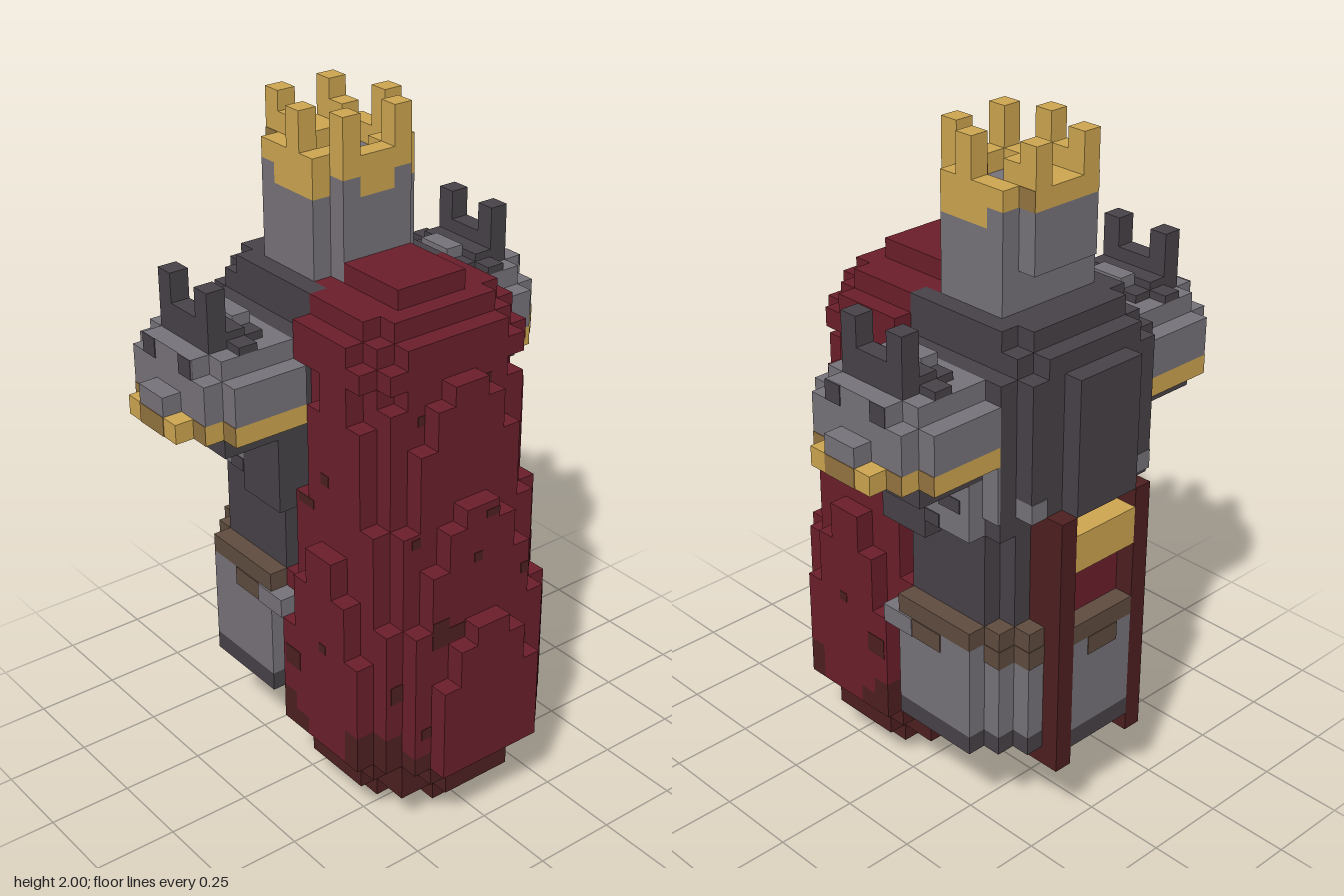
import * as THREE from 'three';
import { mergeGeometries } from 'three/addons/utils/BufferGeometryUtils.js';

const V = 2 / 35; // one block

const paint = (name, color) => {
  const m = new THREE.MeshStandardMaterial({ color });
  m.name = name;
  return m;
};

// Box between two corners given in blocks: [x0, x1, y0, y1, z0, z1]
function block([x0, x1, y0, y1, z0, z1]) {
  const g = new THREE.BoxGeometry((x1 - x0) * V, (y1 - y0) * V, (z1 - z0) * V);
  return g.translate((x0 + x1) / 2 * V, (y0 + y1) / 2 * V, (z0 + z1) / 2 * V);
}
const mirrorZ = (list) => list.concat(list.map(([a, b, c, d, e, f]) => [a, b, c, d, -f, -e]));

export function createModel() {
  const red = paint('cloth red', 0x6b1f2b);
  const brown = paint('dirty brown', 0x4e2021);
  const gray = paint('stone gray', 0x77737a);
  const dark = paint('dark stone', 0x474248);
  const gold = paint('gold', 0xcda650);
  const agedGold = paint('aged gold', 0x94743f);
  const tan = paint('old leather', 0x5f4c3f);

  const model = new THREE.Group();
  model.name = 'kingWithSack';
  const add = (name, mat, boxes) => {
    const mesh = new THREE.Mesh(mergeGeometries(boxes.map(block)), mat);
    mesh.name = name;
    model.add(mesh);
  };

  // Sack: stacked round layers, tapering upwards
  const bottom = [1.4, 4.3, 5.1, 5.5];
  const top = { 24: [3.4, 5.2], 25: [3.3, 4.6], 26: [2.3, 3.9], 27: [1.4, 2.3] };
  const halfWidth = (j, k) => {
    let rx = Math.min(6.2, 5.49 + (12 - j) / 6);
    let rz = Math.min(6.2, 5.58 + (14 - j) * 0.1);
    if (j < 4) rx = rz = bottom[j];
    if (top[j]) [rx, rz] = top[j];
    const q = 1 - ((k + 0.5) / rz) ** 2;
    return q > 0 ? Math.round(rx * Math.sqrt(q)) : 0;
  };
  const clean = [[-1, 0, 26, 27, -3, 3]], dirty = [];
  for (let j = 0; j < 28; j++) {
    for (let k = 0; k < 6; k++) {
      const h = halfWidth(j, k);
      if (!h) continue;
      const limit = j >= 18 ? 0 : j >= 6 ? -1 : -3;
      const left = j >= 18 && (k < 4 || j > 23) ? 0 : Math.max(limit, 3 - h);
      const right = 3 + h;
      const row = (x0, x1) => mirrorZ([[x0, x1, j, j + 1, k, k + 1]]);
      if (j < 3 || (j === 3 && k > 0) || (j > 3 && j < 6 && k > j - 2)) {
        // The hem dips in the middle of the front and back
        if (j > 2 && k === (j > 3 ? 5 : 4)) {
          const a = j > 4 ? 1 : 2, b = j > 3 ? 5 : 4;
          dirty.push(...row(left, a), ...row(b, right));
          clean.push(...row(a, b));
        } else dirty.push(...row(left, right));
      } else clean.push(...row(left, right));
    }
  }
  add('sack', red, clean);
  add('sackHem', brown, dirty);

  // Stains on the sack: [row z, layer y, width, height]
  const stains = [[2, 11, 1, 1.5], [1, 11.1, 1, 0.8], [-4, 13, 0.6, 0.6], [4, 8, 0.7, 1],
    [-3, 9, 0.5, 0.6], [-5, 6, 0.8, 1.5], [3, 6, 0.6, 0.6], [0, 15, 0.5, 0.5],
    [-4, 19.2, 0.8, 0.7], [-1, 17.2, 0.8, 0.4], [2, 22, 0.4, 0.5], [-2, 23, 0.8, 0.5],
    [3, 16.3, 0.5, 0.5], [-3, 13.2, 0.5, 0.6]];
  add('sackStains', brown, stains.map(([k, y, w, h]) => {
    const x = 3 + halfWidth(Math.floor(y), k < 0 ? -k - 1 : k);
    return [x - 0.05, x + 0.03, y, y + h, k, k + w];
  }));
  add('sackSideStains', brown, mirrorZ([[0.2, 1.4, 7.5, 8.6, 5.95, 6.03],
    [3, 3.5, 9.6, 10.1, 5.95, 6.03], [0.2, 1.4, 16.5, 17, 4.95, 5.03],
    [2, 2.6, 18.2, 18.8, 4.95, 5.03]]));

  // Torso and shoulders
  add('torso', dark, [[-7, 0, 12, 18, -4, 4], [-6, -1, 12, 18, -5, 5],
    [-9, 0, 18, 25, -2, 2], [-8, 0, 19, 25, -4, 4], [-8, 0, 18, 26, -3, 3],
    [-7, 0, 17, 25, -5, 5], [-7, 0, 25, 26, -4, 4],
    [-7, -1, 26, 27, -3, 3], ...mirrorZ([[-6, 0, 26, 27, 3, 4]])]);
  add('arms', dark, mirrorZ([[-3, 0, 16, 20, 5, 6], [-6, 0, 20, 21, 5, 9]]));
  add('armPlates', gray, mirrorZ([[-6, -3, 17, 20, 5, 6], [-7, -6, 18, 21, 5, 5.15],
    [-8.04, -7, 18, 19, 3, 4]]));
  add('armPatches', dark, mirrorZ([[-5.4, -4, 18.3, 19, 5.9, 6.05], [-4, -3, 17, 17.7, 5.9, 6.05]]));

  // Belt, cloth and hanging strips on the -x side
  add('belt', gold, [[-9, -7, 15, 17, -2, 2]]);
  add('loincloth', red, [[-8, -7, 12, 15, -2, 2]]);
  add('hangingStrips', brown, mirrorZ([[-9, -7, 4, 18, 2, 3]]));

  // Skirt armour with stepped corners
  const skirt = (y0, y1) => [[-6, -1, y0, y1, -6, 6], [-7, -1, y0, y1, -5, 5],
    [-8, -1, y0, y1, -4, 4], [-9, -8, y0, y1, -2, 2]];
  add('skirt', gray, [...skirt(6, 11), ...mirrorZ([[-2, 0, 10, 11, 5, 6.1]])]);
  add('skirtBase', dark, skirt(5, 6));
  add('skirtBand', tan, skirt(11, 12));
  add('skirtTabs', tan, [...mirrorZ([[-4, -2, 10, 11, 5.9, 6.06], [-7.04, -6, 10, 11, 4, 5.04],
    [-8.04, -7, 10, 11, 3, 4.04]]), [-9.04, -8, 10, 11, -1, 1]]);

  // Shoulder guards with small dark crests
  const slab = (y0, y1) => [[-7, 1, y0, y1, 5, 9], [-6, 0, y0, y1, 9, 10]];
  add('shoulderGuards', gray, mirrorZ([...slab(22, 24), [-6, 0, 24, 25, 5, 9],
    [-5, -1, 24, 25, 9, 10], [-4, -2, 22, 23, 10, 11], [-4, -2, 25, 26, 6, 7]]));
  add('shoulderTrim', gold, mirrorZ([...slab(21, 22), [-5, -1, 21, 22, 10, 11]]));
  add('shoulderTrimWear', agedGold, mirrorZ([[-7, -6, 21, 22, 9, 9.03], [0, 1, 21, 22, 9, 9.03],
    [-6, -5, 21, 22, 10, 10.03], [-1, 0, 21, 22, 10, 10.03], [-4, -2, 21, 22, 11, 11.03]]));
  add('shoulderCrests', dark, mirrorZ([[-6, 0, 25, 25.4, 7, 8], [-5, -1, 25, 25.8, 7, 8],
    [-5, -1, 25, 26.5, 8, 9], [-5, -4, 26.5, 28, 8, 9], [-2, -1, 26.5, 28, 8, 9],
    [-5, -4, 25, 25.4, 6, 7], [-2, -1, 25, 25.4, 6, 7],
    [-5, -4, 24, 25, 9.9, 10.05], [-2, -1, 24, 25, 9.9, 10.05]]));

  // Head with a protruding face
  add('head', gray, [[-5, -1, 27, 31, -3, 3], [-5, 0, 27, 31, -2, 2], [-6, -5, 29, 32, -2, 2],
    [-5, -1, 31, 32, -2, 2], ...mirrorZ([[-5, -4, 31, 32, 2, 3], [-1, 0, 31, 32, 1, 2]])]);

  // Crown ring, dipping on each side, and six prongs
  add('crown', gold, [...mirrorZ([[-4, -1, 31, 33, 2, 3], [-5, -4, 32, 33, 2, 3],
    [-5, -4, 32, 34, 1, 2], [-1, 0, 32, 33, 1, 2], [-2, -1, 32, 33, 1, 2],
    [-3, -2, 33, 35, 2, 3], [-6, -5, 33, 35, 1, 2], [-1, 0, 33, 35, 1, 2]]),
    [-6, -4, 32, 33, -2, 2], [-1, 0, 31, 33, -1, 1]]);
  add('crownWear', agedGold, mirrorZ([[-6, -5, 32, 33, 2, 2.03]]));
  return model;
}
